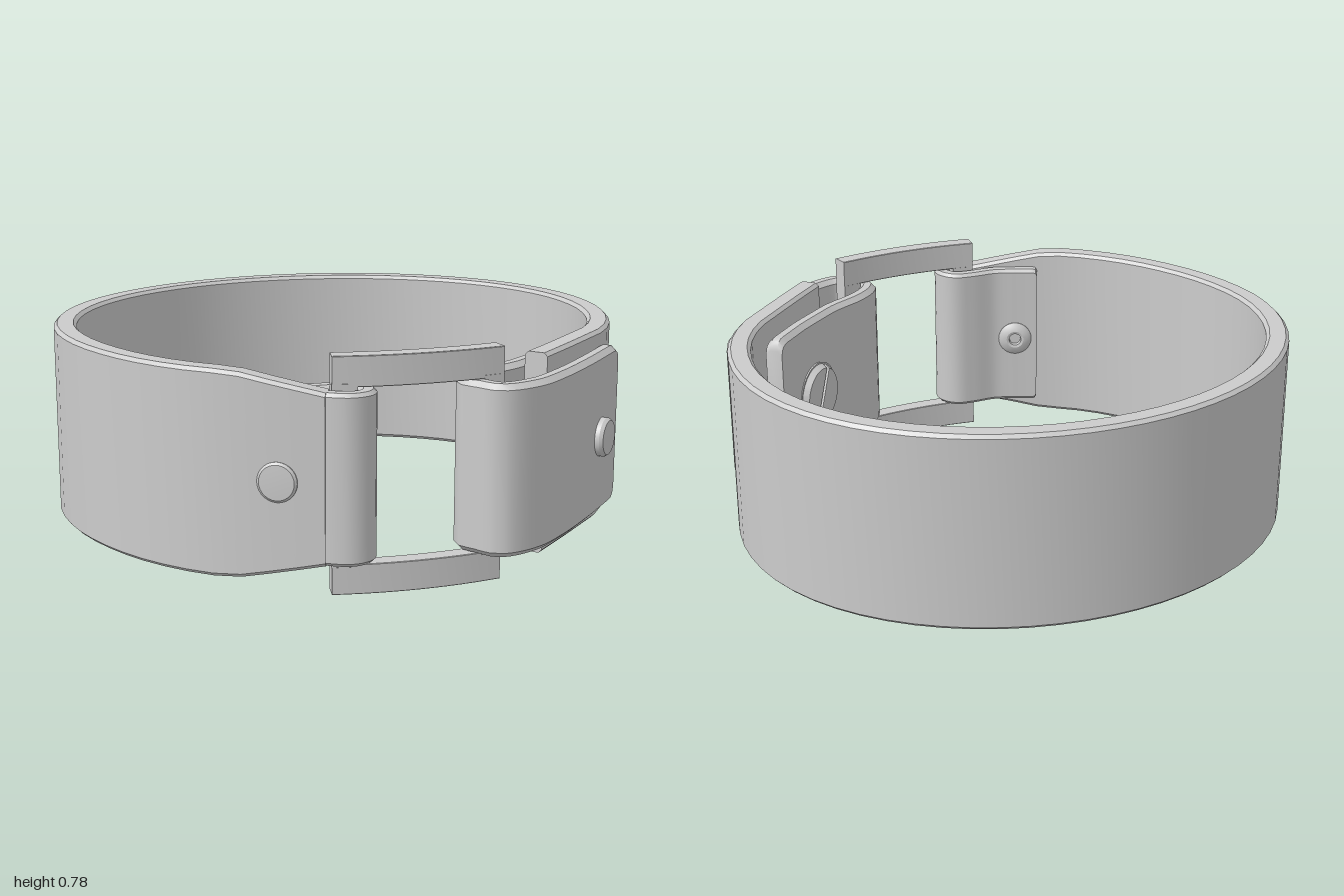
import * as THREE from 'three';
import { toCreasedNormals } from 'three/addons/utils/BufferGeometryUtils.js';

const MID = 0.39; // height of the band's centre line
const material = new THREE.MeshStandardMaterial({ color: 0xcccccc });

function add(group, name, geometry) {
  const mesh = new THREE.Mesh(geometry, material);
  mesh.name = name;
  group.add(mesh);
  return mesh;
}

// Upright band swept along a path of [x, z] points; half(s, length) gives its half height.
function ribbon(points, { thick, half, segments, bevel = 0.012, y = MID }) {
  const curve = new THREE.CatmullRomCurve3(points.map(([x, z]) => new THREE.Vector3(x, 0, z)));
  const length = curve.getLength();
  const positions = [], index = [];
  const t = thick / 2, b = bevel;
  // extra stations near both ends shape the corners
  const stations = [0, 0.006, 0.015, 0.03].map((s) => s / length);
  for (let i = 1; i < segments; i++) {
    const u = i / segments;
    if (u * length > 0.035 && (1 - u) * length > 0.035) stations.push(u);
  }
  stations.push(...[0.03, 0.015, 0.006, 0].map((s) => 1 - s / length));
  for (const u of stations) {
    const p = curve.getPointAt(u), d = curve.getTangentAt(u);
    const h = half(u * length, length);
    const section = [[t, b - h], [t, h - b], [t - b, h], [b - t, h],
      [-t, h - b], [-t, b - h], [b - t, -h], [t - b, -h]];
    for (const [n, v] of section) positions.push(p.x + d.z * n, y + v, p.z - d.x * n);
  }
  const last = (stations.length - 1) * 8;
  for (let i = 0; i < last; i += 8) {
    for (let j = 0; j < 8; j++) {
      const k = (j + 1) % 8;
      index.push(i + j, i + k, i + 8 + k, i + j, i + 8 + k, i + 8 + j);
    }
  }
  for (let j = 1; j < 7; j++) index.push(0, j + 1, j, last, last + j, last + j + 1);
  const geometry = new THREE.BufferGeometry();
  geometry.setAttribute('position', new THREE.Float32BufferAttribute(positions, 3));
  geometry.setIndex(index);
  return toCreasedNormals(geometry, 0.6);
}

// Constant half height with rounded corners at both ends
const roundedEnds = (h, r) => (s, length) => {
  const d = Math.min(s, length - s, r);
  return h - r + Math.sqrt(Math.max(0, r * r - (r - d) ** 2));
};

// Group whose +z axis points along a horizontal direction
function mount(parent, name, [x, z], [nx, nz], y = 0.38) {
  const group = new THREE.Group();
  group.name = name;
  group.position.set(x, y, z);
  group.rotation.y = Math.atan2(nx, nz);
  parent.add(group);
  return group;
}

function turned(profile) {
  const lathe = new THREE.LatheGeometry(profile.map(([r, h]) => new THREE.Vector2(r, h)), 28);
  return toCreasedNormals(lathe.rotateX(Math.PI / 2), 0.5);
}

export function createModel() {
  const model = new THREE.Group();
  model.name = 'buckledCuff';

  // Main strap: left end, around the back, then straight to the right end
  const path = [[-0.28, 0.85], [-0.45, 0.765], [-0.62, 0.655], [-0.75, 0.52], [-0.85, 0.36], [-0.93, 0.15]];
  for (let i = 0; i <= 16; i++) {
    const a = Math.PI * (1 - i / 16);
    path.push([0.96 * Math.cos(a), -0.07 - 0.85 * Math.sin(a)]);
  }
  path.push([0.945, 0.09], [0.89, 0.27], [0.8, 0.42], [0.7, 0.52], [0.58, 0.635], [0.45, 0.755]);
  add(model, 'strap', ribbon(path, {
    thick: 0.08, segments: 56,
    half: (s) => 0.28 + 0.06 * Math.min(1, s / 0.3), // tapers to the left loop
  }));

  // Left loop folded around the frame post
  add(model, 'leftLoop', ribbon([[-0.3, 0.842], [-0.26, 0.87], [-0.21, 0.888], [-0.16, 0.87], [-0.142, 0.82],
    [-0.17, 0.768], [-0.23, 0.755], [-0.33, 0.75], [-0.41, 0.717], [-0.49, 0.677]],
  { thick: 0.055, segments: 40, half: roundedEnds(0.28, 0.015) }));

  // Right clasp: a strip folded around the other post, gripping the strap
  add(model, 'rightClasp', ribbon([[0.855, 0.448], [0.76, 0.55], [0.66, 0.655], [0.52, 0.79], [0.39, 0.89],
    [0.27, 0.918], [0.225, 0.86], [0.193, 0.81], [0.22, 0.755], [0.29, 0.695], [0.42, 0.625],
    [0.5, 0.565], [0.6, 0.485], [0.67, 0.42], [0.74, 0.355]],
  { thick: 0.064, segments: 60, bevel: 0.018, half: roundedEnds(0.285, 0.04) }));

  // Curved rectangular frame linking both ends
  const frame = new THREE.Group();
  frame.name = 'frame';
  model.add(frame);
  const arc = (x0, x1) => Array.from({ length: 7 }, (_, i) => {
    const x = x0 + (x1 - x0) * i / 6;
    return [x, 0.842 - 0.34 * (x - 0.02) ** 2];
  });
  const bar = (name, x0, x1, y, h) => add(frame, name,
    ribbon(arc(x0, x1), { thick: 0.062, segments: 12, bevel: 0.002, y, half: () => h }));
  bar('topBar', -0.26, 0.3, 0.727, 0.05);
  bar('bottomBar', -0.26, 0.3, 0.05, 0.05);
  bar('leftPost', -0.26, -0.18, MID, 0.3);
  bar('rightPost', 0.23, 0.3, MID, 0.3);

  // Outer rivet heads with shanks
  const head = (r, h) => turned([[0, -0.1], [0.03, -0.1], [0.03, 0], [r, 0],
    [r, h * 0.6], [r - 0.008, h], [0, h + 0.003]]);
  add(mount(model, 'rightRivet', [0.768, 0.587], [0.71, 0.7]), 'rivetHead', head(0.068, 0.03));
  add(mount(model, 'leftRivet', [-0.43, 0.81], [-0.5, 0.87]), 'rivetHead', head(0.066, 0.018));

  // Hollow rivet head inside the left loop
  add(mount(model, 'innerRivet', [-0.4, 0.694], [0.43, -0.9]), 'eyelet',
    turned([[0.066, -0.01], [0.066, 0.005], [0.052, 0.018], [0.034, 0.023], [0.024, 0.02], [0.022, 0.004], [0, 0.004]]));

  // Slotted screw inside the right clasp: a base disc and two domed halves
  const screw = mount(model, 'slottedScrew', [0.532, 0.5], [-0.62, -0.78]);
  add(screw, 'screwBase', turned([[0, -0.04], [0.115, -0.04], [0.122, 0.008], [0, 0.008]]));
  const R = 0.12, gap = 0.008, a = Math.acos(gap / R);
  for (const turn of [0, Math.PI]) {
    const shape = new THREE.Shape().absarc(0, 0, R, -a, a, false);
    shape.closePath();
    const geometry = new THREE.ExtrudeGeometry(shape, { depth: 0.03, bevelEnabled: false, curveSegments: 24 });
    // lean the rim inward
    const p = geometry.attributes.position;
    for (let i = 0; i < p.count; i++) {
      if (p.getZ(i) > 0.02) p.setXY(i, gap + (p.getX(i) - gap) * 0.85, p.getY(i) * 0.85);
    }
    geometry.computeVertexNormals();
    add(screw, 'screwHalf', toCreasedNormals(geometry, 0.5)).rotation.z = turn - 0.4;
  }
  return model;
}
